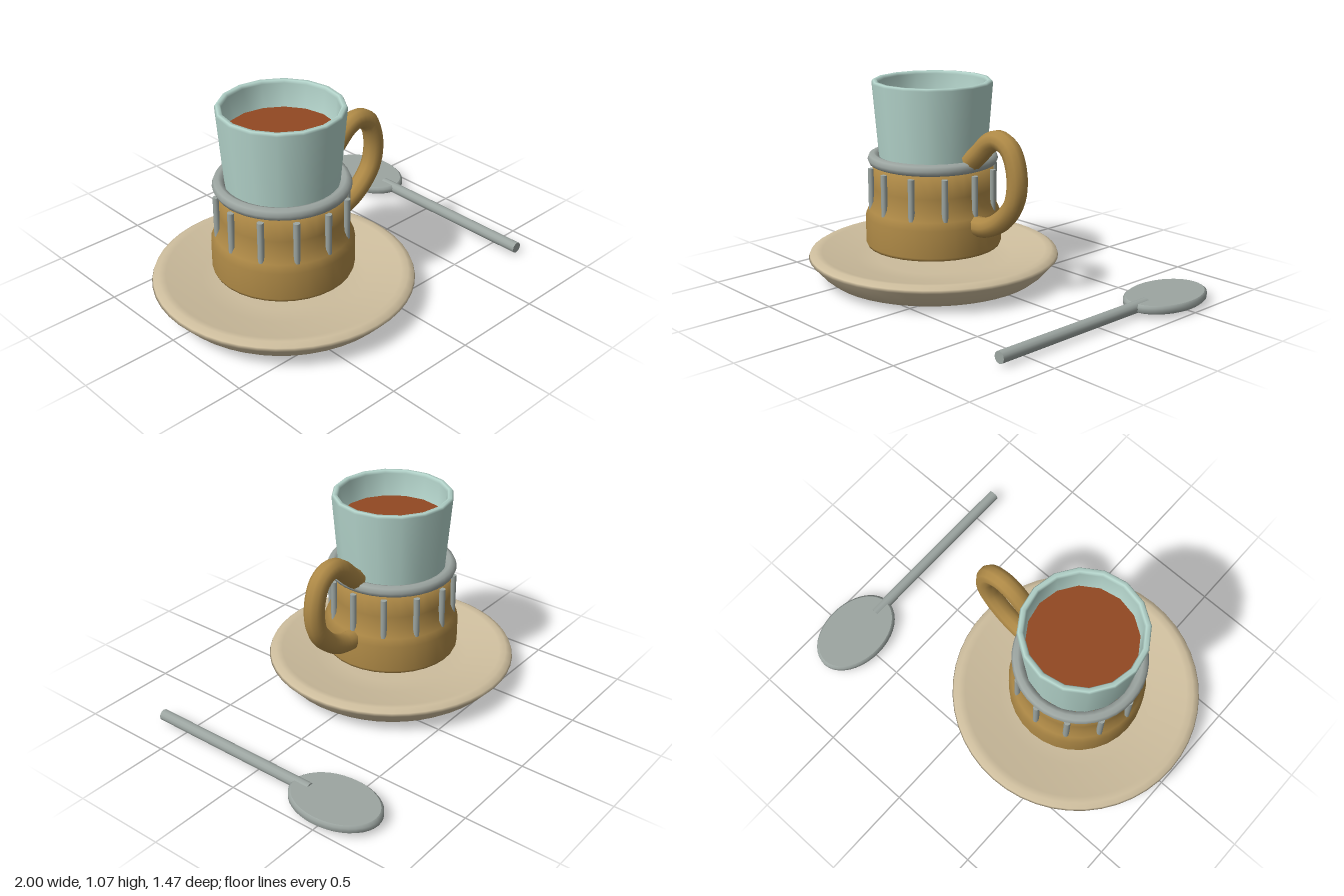
import * as THREE from 'three';

const mat = (name, color, extra = {}) => {
  const m = new THREE.MeshStandardMaterial({ color, ...extra });
  m.name = name;
  return m;
};

export function createModel() {
  const clay = mat('clay', 0xcdbd9d);
  const brass = mat('brass', 0xae8946);
  const glass = mat('paleGlass', 0xb3d3ca);
  const metal = mat('greyMetal', 0x9ca5a1);
  const tea = mat('tea', 0x924822);

  const model = new THREE.Group();
  model.name = 'teaSet';
  const cup = new THREE.Group();
  cup.name = 'cupAndSaucer';
  cup.position.set(-0.33, 0, 0.06);
  model.add(cup);

  const add = (parent, name, geometry, material, x = 0, y = 0, z = 0) => {
    const mesh = new THREE.Mesh(geometry, material);
    mesh.name = name;
    mesh.position.set(x, y, z);
    parent.add(mesh);
    return mesh;
  };
  const lathe = (points, segments) =>
    new THREE.LatheGeometry(points.map(([r, y]) => new THREE.Vector2(r, y)), segments);

  // Shallow saucer with a rounded rim
  add(cup, 'saucer', lathe([
    [0, 0], [0.3, 0.004], [0.5, 0.013], [0.57, 0.022], [0.605, 0.05], [0.67, 0.122],
    [0.664, 0.138], [0.635, 0.155], [0.6, 0.15], [0.42, 0.11], [0.3, 0.1], [0, 0.1],
  ], 48), clay);

  // Holder with a flared foot
  add(cup, 'holder', lathe([
    [0, 0.173], [0.32, 0.174], [0.355, 0.184], [0.362, 0.2], [0.362, 0.345],
    [0.345, 0.385], [0.325, 0.43], [0.32, 0.5], [0.32, 0.65], [0, 0.65],
  ], 32), brass);

  // Twelve upright rods around the holder
  const rodGeometry = new THREE.CylinderGeometry(0.017, 0.017, 0.22, 8);
  for (let i = 0; i < 12; i++) {
    const a = (i * Math.PI) / 6;
    add(cup, 'rod', rodGeometry, metal, 0.33 * Math.sin(a), 0.495, 0.33 * Math.cos(a));
  }

  // Collar between holder and glass
  const collar = new THREE.TorusGeometry(0.313, 0.032, 8, 40).rotateX(Math.PI / 2);
  add(cup, 'collar', collar, metal, 0, 0.65, 0);

  // Open glass and its drink
  add(cup, 'glass', lathe([
    [0.285, 0.64], [0.318, 1.053], [0.31, 1.065], [0.292, 1.065], [0.284, 1.05], [0.265, 0.7], [0, 0.7],
  ], 16), glass);
  const drink = new THREE.CylinderGeometry(0.277, 0.277, 0.008, 32);
  add(cup, 'drink', drink, tea, 0, 0.92, 0);

  // Looped handle
  const path = new THREE.CatmullRomCurve3([
    [0.3, 0.675], [0.36, 0.725], [0.44, 0.797], [0.51, 0.82], [0.59, 0.783], [0.637, 0.66],
    [0.62, 0.52], [0.53, 0.41], [0.42, 0.352], [0.32, 0.342],
  ].map(([x, y]) => new THREE.Vector3(x, y, 0)));
  add(cup, 'handle', new THREE.TubeGeometry(path, 36, 0.053, 10, false), brass);

  // Spoon: flat oval bowl with soft edge, and a straight round stem
  const spoon = new THREE.Group();
  spoon.name = 'spoon';
  spoon.position.set(0.82, 0.042, 0);
  model.add(spoon);
  const bowl = lathe([
    [0, -0.022], [0.165, -0.022], [0.165, -0.022], [0.175, -0.012], [0.175, 0.012],
    [0.165, 0.022], [0.165, 0.022], [0, 0.022],
  ], 40).scale(1, 1, 1.44);
  add(spoon, 'spoonBowl', bowl, metal, 0, 0, -0.487);
  const stem = new THREE.CylinderGeometry(0.03, 0.03, 0.995, 12).rotateX(Math.PI / 2);
  add(spoon, 'spoonStem', stem, metal, 0, 0, 0.165);

  return model;
}
